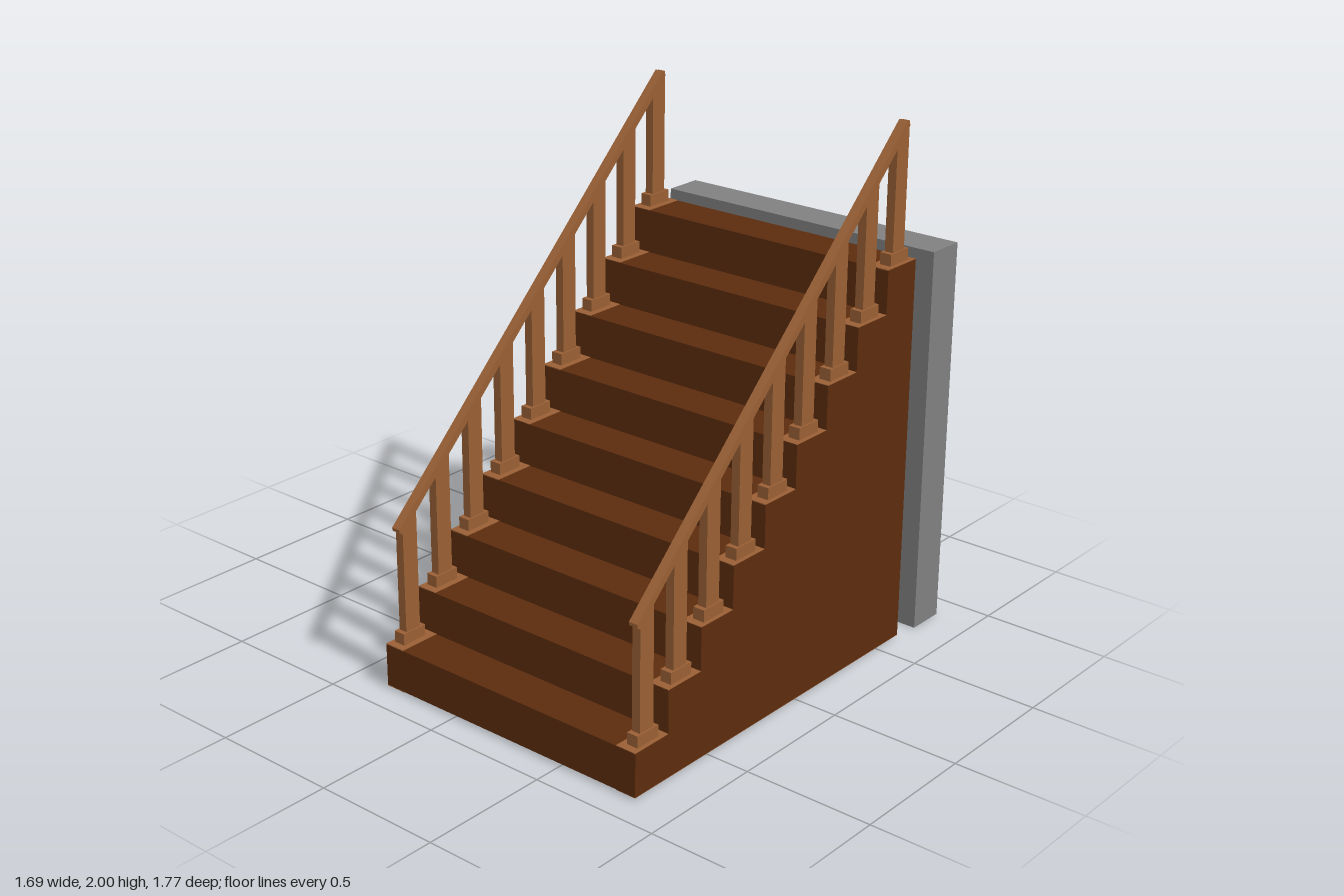
import * as THREE from 'three';

const darkWood = new THREE.MeshStandardMaterial({ color: 0x5c2c0d });
darkWood.name = 'darkWood';
const lightWood = new THREE.MeshStandardMaterial({ color: 0x9a6035 });
lightWood.name = 'lightWood';
const grey = new THREE.MeshStandardMaterial({ color: 0x808080 });
grey.name = 'grey';

const STEPS = 9, RUN = 0.1683, RISE = 0.1645;
const FRONT = 0.885, BACK = -0.63, BASE = 0.01, FIRST = 0.175;
const MID_X = 0.25, WIDTH = 1.166;
const treadY = i => FIRST + i * RISE;
const stepFront = i => FRONT - i * RUN;

function add(parent, name, geometry, material, x = 0, y = 0, z = 0) {
  const mesh = new THREE.Mesh(geometry, material);
  mesh.name = name;
  mesh.position.set(x, y, z);
  parent.add(mesh);
  return mesh;
}

// Side outline given as [z, y] points, extruded across x and centred on x = 0
function sideExtrude(points, width) {
  const shape = new THREE.Shape(points.map(p => new THREE.Vector2(p[0], p[1])));
  const g = new THREE.ExtrudeGeometry(shape, { depth: width, bevelEnabled: false });
  return g.rotateY(-Math.PI / 2).translate(width / 2, 0, 0);
}

// Smooth body part: elliptical rings along a path of [x, y, z, sideRadius, depthRadius]
function loft(rows, sides = 16, perRow = 4) {
  const path = new THREE.CatmullRomCurve3(rows.map(r => new THREE.Vector3(r[0], r[1], r[2])));
  const radii = new THREE.CatmullRomCurve3(rows.map(r => new THREE.Vector3(r[3], r[4], 0)));
  const n = (rows.length - 1) * perRow;
  const pos = [], index = [], forward = new THREE.Vector3(0, 0, 1);
  for (let i = 0; i <= n; i++) {
    const c = path.getPoint(i / n), t = path.getTangent(i / n), r = radii.getPoint(i / n);
    const u = new THREE.Vector3().crossVectors(t, forward).normalize();
    const v = new THREE.Vector3().crossVectors(t, u);
    for (let j = 0; j < sides; j++) {
      const a = j / sides * Math.PI * 2;
      const p = c.clone().addScaledVector(u, Math.cos(a) * r.x).addScaledVector(v, Math.sin(a) * r.y);
      pos.push(p.x, p.y, p.z);
      if (i < n) {
        const k = i * sides, j2 = (j + 1) % sides;
        index.push(k + j, k + j2, k + sides + j, k + j2, k + sides + j2, k + sides + j);
      }
    }
  }
  const g = new THREE.BufferGeometry();
  g.setAttribute('position', new THREE.Float32BufferAttribute(pos, 3));
  g.setIndex(index);
  g.computeVertexNormals();
  return g;
}

function ellipsoid(rx, ry, rz) {
  return new THREE.SphereGeometry(1, 20, 14).scale(rx, ry, rz);
}

function makeStairs() {
  const group = new THREE.Group();
  group.name = 'stairs';
  const outline = [[BACK, BASE], [FRONT, BASE]];
  for (let i = 0; i < STEPS; i++) {
    outline.push([stepFront(i), treadY(i)], [i === STEPS - 1 ? BACK : stepFront(i + 1), treadY(i)]);
  }
  add(group, 'stairBody', sideExtrude(outline, WIDTH), darkWood, MID_X);

  // Pale strips along both ends of the treads and of the underside
  for (const s of [-1, 1]) {
    const x = MID_X + s * (WIDTH / 2 - 0.042);
    for (let i = 0; i < STEPS; i++) {
      add(group, 'treadStrip', new THREE.BoxGeometry(0.083, 0.004, RUN), lightWood,
        x, treadY(i), stepFront(i) - RUN / 2);
    }
    add(group, 'undersideStrip', new THREE.BoxGeometry(0.083, 0.004, FRONT - BACK), lightWood,
      x, BASE, (FRONT + BACK) / 2);
  }
  return group;
}

function makeRailing(x) {
  const group = new THREE.Group();
  group.name = 'railing';
  group.position.x = x;
  // Height of the handrail's upper edge at a given z
  const railY = z => 0.627 + (0.853 - z) * 0.965;

  add(group, 'handrail', sideExtrude([
    [0.853, 0.627], [-0.57, 2.0], [-0.586, 1.983], [-0.58, 1.972], [0.838, 0.605], [0.853, 0.615],
  ], 0.036), lightWood);

  for (let i = 0; i < STEPS; i++) {
    const z = 0.803 - i * 0.169, y = treadY(i), h = 0.034;
    add(group, 'baluster', sideExtrude([
      [z + h, y], [z + h, railY(z + h) - 0.015], [z - h, railY(z - h) - 0.015], [z - h, y],
    ], 0.034), lightWood);
    add(group, 'balusterFoot', new THREE.BoxGeometry(0.046, 0.046, 0.105), lightWood, 0, y + 0.023, z);
  }
  return group;
}

function makeFigure() {
  const group = new THREE.Group();
  group.name = 'figure';
  group.position.set(-0.53, 0, -0.45);

  add(group, 'torso', loft([
    [0, 0.415, 0, 0.012, 0.012], [0, 0.435, 0, 0.05, 0.04], [0, 0.475, 0, 0.064, 0.046],
    [0, 0.535, 0.002, 0.054, 0.036], [0, 0.6, 0, 0.07, 0.044], [0, 0.655, -0.004, 0.09, 0.05],
    [0, 0.695, -0.008, 0.085, 0.04], [0, 0.72, -0.004, 0.04, 0.028], [0, 0.735, 0.002, 0.025, 0.025],
    [0, 0.77, 0.01, 0.022, 0.022],
  ], 24), grey);
  add(group, 'head', loft([
    [0, 0.738, 0.03, 0.003, 0.003], [0, 0.745, 0.026, 0.014, 0.014], [0, 0.77, 0.016, 0.025, 0.032],
    [0, 0.805, 0.011, 0.03, 0.038], [0, 0.835, 0.008, 0.022, 0.028], [0, 0.846, 0.008, 0.002, 0.002],
  ], 20), grey);

  for (const s of [-1, 1]) {
    add(group, 'arm', loft([
      [s * 0.06, 0.69, -0.008, 0.02, 0.02], [s * 0.1, 0.69, -0.008, 0.036, 0.035],
      [s * 0.14, 0.655, -0.008, 0.027, 0.027], [s * 0.185, 0.616, -0.01, 0.02, 0.022],
      [s * 0.215, 0.59, -0.01, 0.021, 0.022], [s * 0.262, 0.548, -0.008, 0.01, 0.013],
      [s * 0.28, 0.528, -0.006, 0.008, 0.017], [s * 0.292, 0.515, -0.004, 0.004, 0.012],
    ]), grey);
    // Fingers fan out from the palm, thumb in front
    for (let f = 0; f < 5; f++) {
      const thumb = f === 4, z = thumb ? 0.012 : -0.018 + f * 0.008;
      const start = thumb ? [0.27, 0.535] : [0.282, 0.524];
      const end = thumb ? [0.282, 0.51] : [0.315, 0.497];
      add(group, 'finger', loft([
        [s * start[0], start[1], z, 0.004, 0.004],
        [s * (start[0] + end[0]) / 2, (start[1] + end[1]) / 2 + 0.002, z * 1.2, 0.0045, 0.0045],
        [s * end[0], end[1], z * 1.5, 0.001, 0.001],
      ], 8), grey);
    }
    add(group, 'leg', loft([
      [s * 0.035, 0.48, 0, 0.025, 0.03], [s * 0.04, 0.42, 0.002, 0.036, 0.044],
      [s * 0.048, 0.35, 0.006, 0.034, 0.042], [s * 0.058, 0.275, 0.008, 0.024, 0.028],
      [s * 0.061, 0.24, 0.005, 0.024, 0.026], [s * 0.066, 0.2, -0.004, 0.026, 0.031],
      [s * 0.071, 0.13, -0.004, 0.014, 0.017], [s * 0.073, 0.08, 0, 0.014, 0.018],
    ]), grey);
    add(group, 'foot', ellipsoid(0.021, 0.016, 0.058), grey, s * 0.075, 0.075, 0.037)
      .rotation.set(0.15, s * 0.08, 0);
  }
  return group;
}

export function createModel() {
  const model = new THREE.Group();
  model.name = 'staircase';
  model.add(makeStairs(), makeRailing(-0.295), makeRailing(0.795), makeFigure());
  add(model, 'backWall', new THREE.BoxGeometry(1.21, 1.492, 0.152), grey, 0.236, 0.746, -0.809);
  return model;
}
